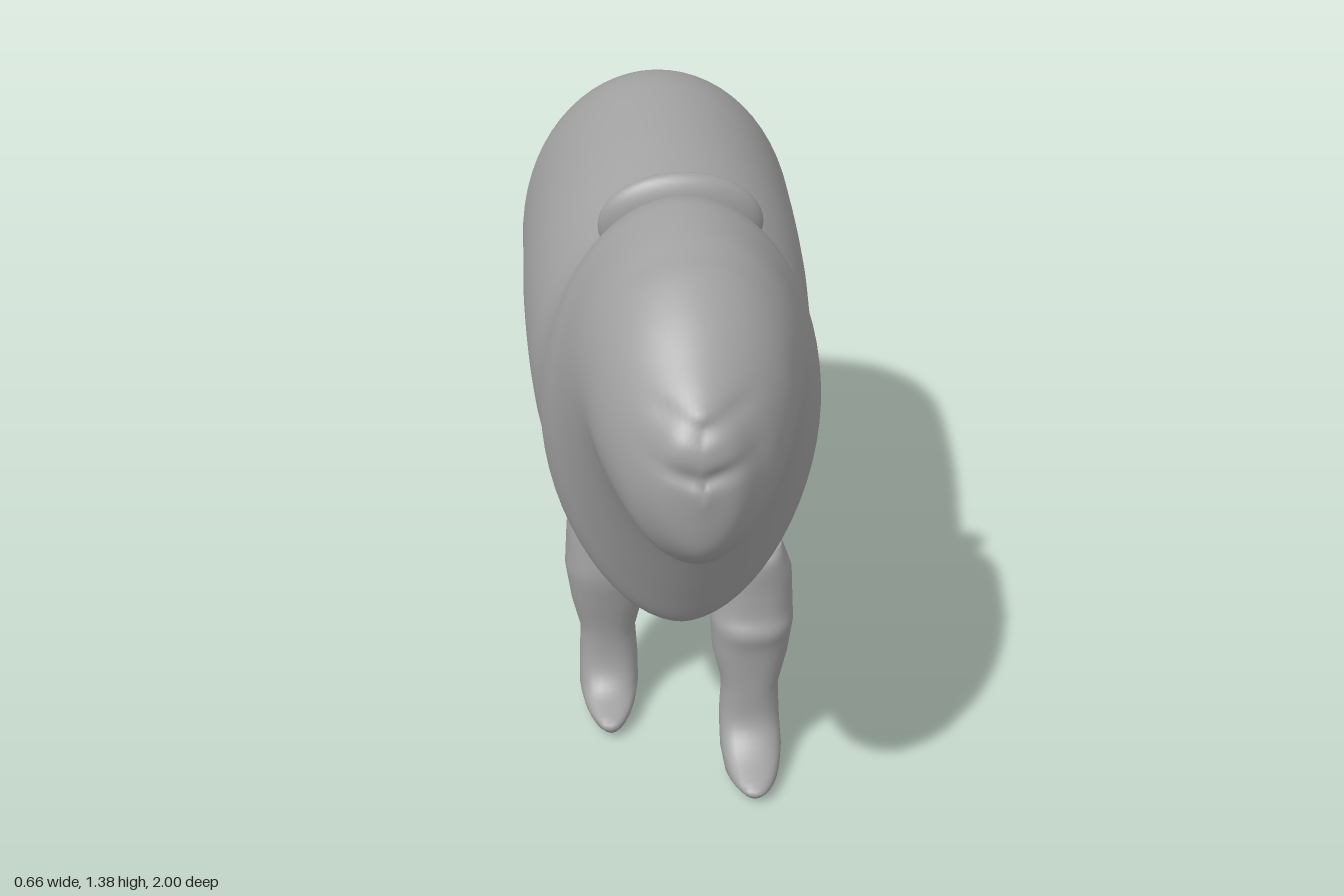
import * as THREE from 'three';

const fur = new THREE.MeshStandardMaterial({ color: 0xa0a0a0 });
fur.name = 'grey fur';

// Smoothly resample a list of section rows.
function resample(rows, steps) {
  const spline = new THREE.CubicInterpolant(rows.map((_, i) => i), rows.flat(), rows[0].length);
  const out = [];
  for (let i = 0; i <= steps; i++) out.push([...spline.evaluate((i / steps) * (rows.length - 1))]);
  return out;
}

// Skin a list of closed rings and cap both ends.
function loft(rings, name) {
  const n = rings[0].length;
  const pos = rings.flat(2);
  const index = [];
  for (let i = 0; i < rings.length - 1; i++) {
    for (let j = 0; j < n; j++) {
      const k = (j + 1) % n;
      const a = i * n + j, b = i * n + k, c = a + n, d = b + n;
      index.push(a, c, b, b, c, d);
    }
  }
  [0, rings.length - 1].forEach((r, end) => {
    const centre = pos.length / 3;
    for (let c = 0; c < 3; c++) pos.push(rings[r].reduce((s, p) => s + p[c], 0) / n);
    for (let j = 0; j < n; j++) {
      const a = r * n + j, b = r * n + ((j + 1) % n);
      index.push(centre, end ? b : a, end ? a : b);
    }
  });
  const geo = new THREE.BufferGeometry();
  geo.setAttribute('position', new THREE.Float32BufferAttribute(pos, 3));
  geo.setIndex(index);
  geo.computeVertexNormals();
  const mesh = new THREE.Mesh(geo, fur);
  mesh.name = name;
  return mesh;
}

const power = (v, p) => Math.sign(v) * Math.abs(v) ** p;

// Head and trunk: z, top, bottom, half width, height of widest point.
function makeBody() {
  const sections = [
    [1, 1.04, 1.0, 0.01, 1.02], [0.98, 1.13, 0.89, 0.07, 1.01],
    [0.93, 1.18, 0.835, 0.115, 1.0], [0.88, 1.22, 0.81, 0.15, 1.02],
    [0.8, 1.28, 0.815, 0.185, 1.05], [0.72, 1.325, 0.81, 0.205, 1.07],
    [0.66, 1.34, 0.74, 0.22, 1.07], [0.6, 1.355, 0.65, 0.235, 1.04],
    [0.52, 1.365, 0.5, 0.255, 0.98], [0.46, 1.365, 0.4, 0.275, 0.93],
    [0.4, 1.345, 0.383, 0.287, 0.88], [0.32, 1.275, 0.385, 0.29, 0.85],
    [0.22, 1.21, 0.385, 0.295, 0.83], [0.12, 1.18, 0.385, 0.305, 0.82],
    [0, 1.2, 0.385, 0.315, 0.83], [-0.2, 1.255, 0.39, 0.325, 0.85],
    [-0.45, 1.293, 0.395, 0.327, 0.86], [-0.6, 1.268, 0.395, 0.325, 0.86],
    [-0.72, 1.21, 0.4, 0.295, 0.85], [-0.82, 1.13, 0.43, 0.245, 0.84],
    [-0.9, 1.04, 0.56, 0.175, 0.83], [-0.97, 0.95, 0.72, 0.08, 0.84],
    [-1, 0.87, 0.82, 0.02, 0.845],
  ];
  const n = 64;
  const rings = resample(sections, 176).map(([z, top, bottom, w, mid]) => {
    const ring = [];
    for (let j = 0; j < n; j++) {
      const t = (j / n) * Math.PI * 2;
      const c = Math.cos(t), s = Math.sin(t);
      const x = w * (s < 0 ? power(c, 1.1) : c);
      const y = mid + (s > 0 ? (top - mid) * s : (mid - bottom) * power(s, 1.05));
      // Shallow nose and mouth creases on the muzzle
      let dz = 0;
      if (z > 0.8) {
        const fade = Math.min(1, (z - 0.8) / 0.12) * Math.max(0, 1 - Math.abs(x) / 0.13);
        for (const crease of [1.13, 1.04]) {
          const d = (y - crease - 0.3 * Math.abs(x)) / 0.018;
          dz -= 0.014 * fade * Math.exp(-d * d);
        }
      }
      ring.push([x, y, z + dz]);
    }
    return ring;
  });
  return loft(rings, 'body');
}

// Leg rows: height, back z, front z; side is +1 or -1 in x.
function makeLeg(name, side, rows) {
  // Height, inner and outer x of every leg
  const widths = [[0, 0.12, 0.18], [0.02, 0.095, 0.21], [0.06, 0.085, 0.22], [0.12, 0.085, 0.218],
    [0.2, 0.09, 0.215], [0.28, 0.07, 0.235], [0.36, 0.065, 0.247], [0.48, 0.09, 0.24], [0.56, 0.15, 0.21]];
  const span = new THREE.LinearInterpolant(widths.map((w) => w[0]), widths.map((w) => w.slice(1)).flat(), 2);
  const n = 24;
  const rings = resample(rows, 48).map(([y, back, front]) => {
    const [inner, outer] = span.evaluate(THREE.MathUtils.clamp(y, 0, 0.56));
    const cx = (side * (inner + outer)) / 2, cz = (front + back) / 2;
    const ring = [];
    for (let j = 0; j < n; j++) {
      const t = (j / n) * Math.PI * 2;
      const fz = -power(Math.sin(t), 0.85);
      // Toes narrow toward the tip
      const taper = y < 0.08 && fz > 0 ? 1 - 0.45 * fz * (1 - y / 0.08) : 1;
      ring.push([cx + ((outer - inner) / 2) * power(Math.cos(t), 0.85) * taper,
        Math.max(0, y), cz + ((front - back) / 2) * fz]);
    }
    return ring;
  });
  return loft(rings, name);
}

export function createModel() {
  const model = new THREE.Group();
  model.name = 'animal';
  model.add(makeBody());

  // Rounded ear ridge across the back of the head
  const ears = new THREE.Mesh(new THREE.SphereGeometry(1, 40, 24), fur);
  ears.name = 'earRidge';
  ears.scale.set(0.165, 0.115, 0.045);
  ears.rotation.x = 0.15;
  ears.position.set(0, 1.27, 0.355);
  model.add(ears);

  // Legs in mid stride
  model.add(makeLeg('frontLeftLeg', 1, [
    [0.545, 0.33, 0.42], [0.52, 0.295, 0.445], [0.45, 0.3, 0.445], [0.39, 0.28, 0.45],
    [0.35, 0.265, 0.465], [0.3, 0.295, 0.455], [0.2, 0.325, 0.45], [0.12, 0.34, 0.455],
    [0.07, 0.36, 0.5], [0.035, 0.38, 0.575], [0.015, 0.4, 0.58], [0, 0.44, 0.55]]));
  model.add(makeLeg('frontRightLeg', -1, [
    [0.535, 0.09, 0.18], [0.51, 0.05, 0.22], [0.4, 0.035, 0.24], [0.35, 0.04, 0.24],
    [0.3, 0.06, 0.23], [0.2, 0.085, 0.21], [0.12, 0.095, 0.215],
    [0.07, 0.085, 0.25], [0.04, 0.07, 0.325], [0.015, 0.07, 0.325], [0, 0.09, 0.29]]));
  model.add(makeLeg('rearLeftLeg', 1, [
    [0.56, -0.85, -0.77], [0.535, -0.885, -0.73], [0.45, -0.89, -0.74], [0.39, -0.89, -0.735],
    [0.33, -0.9, -0.705], [0.28, -0.885, -0.735], [0.2, -0.87, -0.755], [0.12, -0.865, -0.755],
    [0.07, -0.875, -0.72], [0.04, -0.875, -0.655], [0.015, -0.865, -0.655], [0, -0.84, -0.69]]));
  model.add(makeLeg('rearRightLeg', -1, [
    [0.55, -0.66, -0.54], [0.52, -0.69, -0.5], [0.4, -0.695, -0.49], [0.36, -0.7, -0.49],
    [0.315, -0.7, -0.46], [0.26, -0.68, -0.52], [0.2, -0.655, -0.52], [0.12, -0.605, -0.475],
    [0.07, -0.575, -0.42], [0.035, -0.545, -0.355], [0.015, -0.525, -0.355], [0, -0.49, -0.39]]));
  return model;
}
